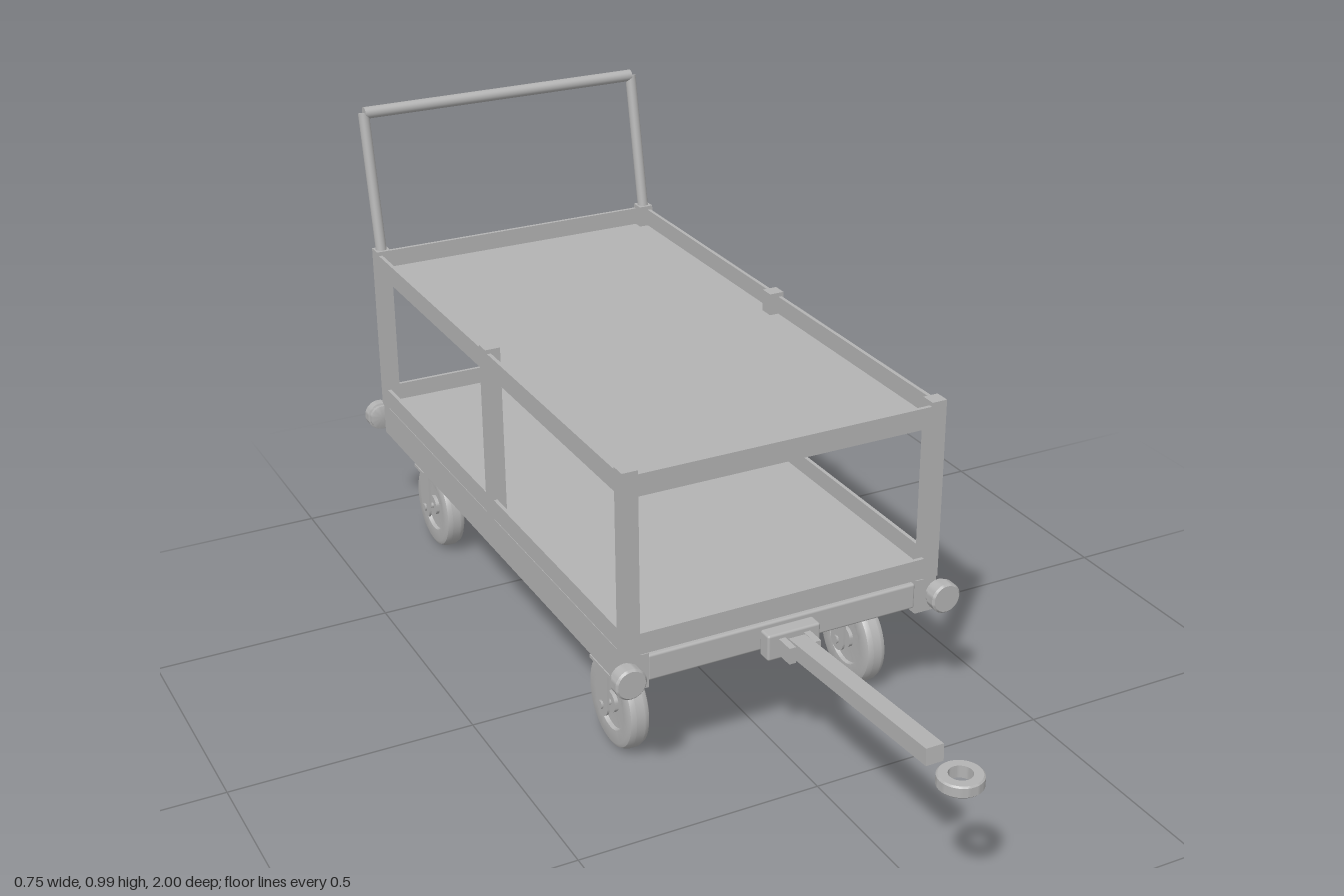
import * as THREE from 'three';
import { RoundedBoxGeometry } from 'three/addons/geometries/RoundedBoxGeometry.js';
import { toCreasedNormals } from 'three/addons/utils/BufferGeometryUtils.js';

const steel = new THREE.MeshStandardMaterial({ color: 0xb2b2b2 });
steel.name = 'grey steel';

const FRONT = 0.37, REAR = -0.9, MID = (FRONT + REAR) / 2;
const POST_X = 0.323, DECK_LENGTH = FRONT - REAR;

function add(parent, name, geometry, x = 0, y = 0, z = 0) {
  const mesh = new THREE.Mesh(geometry, steel);
  mesh.name = name;
  mesh.position.set(x, y, z);
  parent.add(mesh);
  return mesh;
}

function box(parent, name, w, h, d, x, y, z) {
  return add(parent, name, new THREE.BoxGeometry(w, h, d), x, y, z);
}

// Vertical cylinder
function rod(parent, name, r, h, x, y, z, sides = 24) {
  return add(parent, name, new THREE.CylinderGeometry(r, r, h, sides), x, y, z);
}

// Cylinder between two points
function tube(parent, name, r, a, b) {
  const dir = b.clone().sub(a);
  const mesh = rod(parent, name, r, dir.length(), 0, 0, 0);
  mesh.position.copy(a).add(b).multiplyScalar(0.5);
  mesh.quaternion.setFromUnitVectors(new THREE.Vector3(0, 1, 0), dir.normalize());
  return mesh;
}

function lathe(points, sides = 40) {
  const profile = points.map(([r, y]) => new THREE.Vector2(r, y));
  return toCreasedNormals(new THREE.LatheGeometry(profile, sides), 0.6);
}

function group(parent, name, x = 0, y = 0, z = 0) {
  const g = new THREE.Group();
  g.name = name;
  g.position.set(x, y, z);
  parent.add(g);
  return g;
}

// Sheet with an upright lip between the posts on all four sides
function addShelf(parent, name, y) {
  const shelf = group(parent, name, 0, y, 0);
  box(shelf, 'shelfSheet', 0.664, 0.006, DECK_LENGTH - 0.006, 0, 0.003, MID);
  for (const s of [-1, 1]) {
    box(shelf, 'sideRail', 0.008, 0.044, DECK_LENGTH - 0.03, s * 0.331, 0.022, MID);
    box(shelf, 'endRail', 0.614, 0.044, 0.008, 0, 0.022, MID + s * (DECK_LENGTH / 2 - 0.006));
  }
}

// Wheel with rounded tread and recessed web, forked bracket and mounting plate
function addCaster(parent, name, x, z, swivels) {
  const caster = group(parent, name, x, 0, z);
  const wheel = add(caster, 'wheel', lathe([
    [0, -0.02], [0.022, -0.02], [0.022, -0.012], [0.056, -0.012], [0.058, -0.02],
    [0.084, -0.023], [0.092, -0.019], [0.097, -0.009], [0.097, 0.009], [0.092, 0.019],
    [0.084, 0.023], [0.058, 0.02], [0.056, 0.012], [0.022, 0.012], [0.022, 0.02], [0, 0.02],
  ]), 0, 0.099, 0);
  wheel.rotation.z = Math.PI / 2;

  // Fork cheeks with a rounded lower end
  const cheek = new THREE.Shape();
  cheek.moveTo(0.027, 0.195);
  cheek.lineTo(-0.027, 0.195);
  cheek.lineTo(-0.024, 0.099);
  cheek.absarc(0, 0.099, 0.024, Math.PI, Math.PI * 2, false);
  cheek.closePath();
  const cheekGeometry = new THREE.ExtrudeGeometry(cheek, { depth: 0.005, bevelEnabled: false });
  cheekGeometry.translate(0, 0, -0.0025).rotateY(Math.PI / 2);
  for (const s of [-1, 1]) {
    add(caster, 'forkCheek', cheekGeometry, s * 0.035, 0, 0);
    const nut = rod(caster, 'axleNut', 0.009, 0.008, s * 0.038, 0.099, 0, 6);
    nut.rotation.z = Math.PI / 2;
  }
  const axle = rod(caster, 'axle', 0.006, 0.074, 0, 0.099, 0, 16);
  axle.rotation.z = Math.PI / 2;

  const offset = swivels ? 0.035 : 0;
  box(caster, 'forkTop', 0.098, 0.007, 0.054 + offset, 0, 0.196, offset / 2);
  if (swivels) rod(caster, 'swivelBearing', 0.036, 0.026, 0, 0.212, offset, 32);
  else rod(caster, 'kingpin', 0.012, 0.026, 0, 0.212, 0);
  box(caster, 'mountingPlate', 0.112, 0.01, 0.108, 0, 0.23, offset);
}

export function createModel() {
  const cart = new THREE.Group();
  cart.name = 'platformCart';

  // Base frame
  const frame = group(cart, 'baseFrame');
  for (const s of [-1, 1]) {
    box(frame, 'sideBeam', 0.046, 0.073, DECK_LENGTH, s * 0.313, 0.2715, MID);
  }
  for (const z of [FRONT - 0.025, MID, REAR + 0.025]) {
    add(frame, 'crossBeam', new RoundedBoxGeometry(0.582, 0.055, 0.044, 2, 0.005), 0, 0.273, z);
  }

  // Shelves and posts
  addShelf(cart, 'lowerShelf', 0.308);
  addShelf(cart, 'upperShelf', 0.632);
  for (const s of [-1, 1]) {
    for (const z of [FRONT - 0.016, MID, REAR + 0.016]) {
      box(cart, 'post', 0.032, 0.377, 0.032, s * POST_X, 0.4965, z);
    }
  }

  // Push handle
  const handle = group(cart, 'pushHandle');
  for (const s of [-1, 1]) {
    tube(handle, 'handleUpright', 0.012,
      new THREE.Vector3(s * POST_X, 0.675, REAR + 0.016),
      new THREE.Vector3(s * POST_X, 0.98, REAR - 0.043));
  }
  tube(handle, 'handleGrip', 0.013,
    new THREE.Vector3(-0.322, 0.98, REAR - 0.043), new THREE.Vector3(0.322, 0.98, REAR - 0.043));

  // Corner bumpers
  const bumperGeometry = lathe([
    [0, 0], [0.028, 0], [0.028, 0.008], [0.032, 0.01], [0.032, 0.03], [0.028, 0.034], [0, 0.034],
  ], 32);
  for (const s of [-1, 1]) {
    for (const [z, turn] of [[FRONT, 1], [REAR, -1]]) {
      const bumper = add(cart, 'cornerBumper', bumperGeometry, s * 0.341, 0.272, z);
      bumper.rotation.x = turn * Math.PI / 2;
    }
  }

  // Casters: swivelling in front, fixed behind
  for (const s of [-1, 1]) {
    addCaster(cart, 'frontCaster', s * 0.265, 0.187, true);
    addCaster(cart, 'rearCaster', s * 0.265, -0.754, false);
  }

  // Drawbar with clevis and towing eye
  const drawbar = group(cart, 'drawbar');
  add(drawbar, 'hitchPlate', new RoundedBoxGeometry(0.114, 0.055, 0.032, 2, 0.005), 0, 0.267, FRONT + 0.016);
  for (const s of [-1, 1]) {
    box(drawbar, 'clevisCheek', 0.014, 0.034, 0.045, s * 0.027, 0.267, FRONT + 0.05);
  }
  const pivot = rod(drawbar, 'pivotPin', 0.008, 0.068, 0, 0.267, FRONT + 0.056, 16);
  pivot.rotation.z = Math.PI / 2;
  const bar = box(drawbar, 'towBar', 0.036, 0.034, 0.468, 0, 0.283, 0.645);
  bar.rotation.x = -0.065;
  add(drawbar, 'towEye', lathe([
    [0.022, -0.012], [0.039, -0.012], [0.042, -0.009], [0.042, 0.009],
    [0.039, 0.012], [0.022, 0.012], [0.022, -0.012],
  ]), 0, 0.296, 0.956);

  // Rear coupling with drop pin
  const coupling = group(cart, 'rearCoupling');
  box(coupling, 'couplingBackPlate', 0.114, 0.095, 0.014, 0, 0.288, REAR - 0.007);
  for (const y of [0.26, 0.33]) {
    box(coupling, 'couplingPlate', 0.134, 0.011, 0.092, 0, y, -0.952);
  }
  rod(coupling, 'dropPin', 0.01, 0.17, 0, 0.305, -0.967);
  add(coupling, 'pinHead', lathe([
    [0, 0], [0.024, 0], [0.028, 0.004], [0.028, 0.013], [0.024, 0.017], [0, 0.017],
  ], 32), 0, 0.384, -0.967);

  return cart;
}
